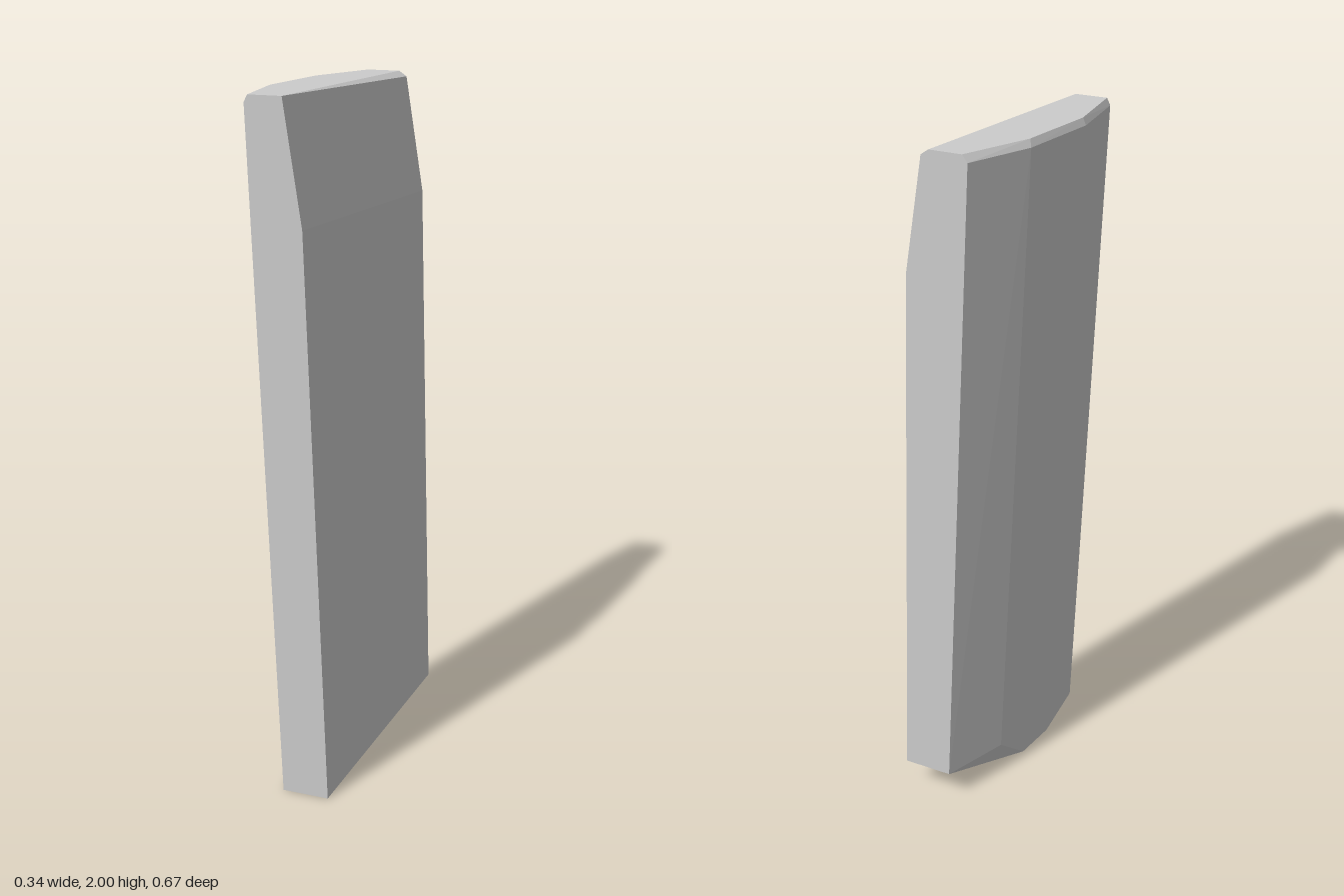
import * as THREE from 'three';
import { ConvexGeometry } from 'three/addons/geometries/ConvexGeometry.js';

export function createModel() {
  const group = new THREE.Group();
  group.name = 'leaningSlab';
  const front = 0.333, back = -0.333;

  const corners = [
    // top cap, inside the bevel
    [-0.045, 2, back], [-0.13, 2, -0.13], [-0.163, 2, 0.115], [-0.135, 2, front],
    [-0.04, 2, front], [0.05, 2, back],
    // small bevel at the back end of the flat side
    [0.072, 1.985, back],
    // upper rim of the bowed side, under the bevel
    [-0.06, 1.98, back], [-0.138, 1.98, -0.14], [-0.172, 1.98, 0.115], [-0.145, 1.98, front],
    // bend line across the flat side
    [0.013, 1.66, front], [0.125, 1.66, back],
    // level part of the foot
    [0.078, 0, front], [-0.06, 0, front], [-0.08, 0, 0.115], [-0.064, 0, -0.02], [0.07, 0, -0.02],
    // raised back of the foot
    [-0.048, 0.1, -0.14], [0.027, 0.095, back], [0.172, 0.095, back],
  ];

  // one faceted solid spanned by its corners
  const slab = new THREE.Mesh(
    new ConvexGeometry(corners.map((c) => new THREE.Vector3(...c))),
    new THREE.MeshStandardMaterial({ color: 0xcccccc, flatShading: true })
  );
  slab.name = 'slab';
  group.add(slab);
  return group;
}
